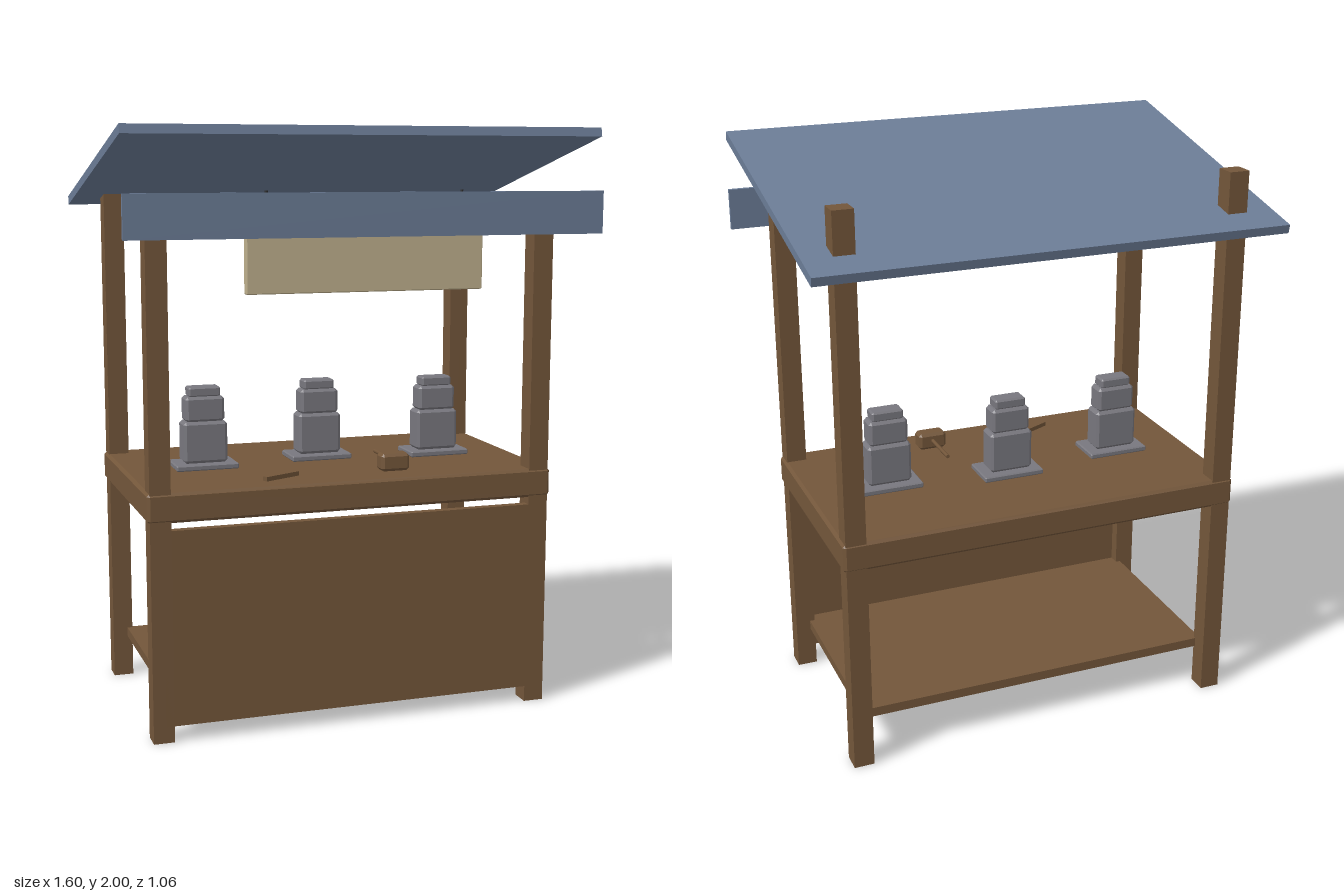
import * as THREE from 'three';
import { ConvexGeometry } from 'three/addons/geometries/ConvexGeometry.js';

const material = (name, color) => {
  const m = new THREE.MeshStandardMaterial({ color });
  m.name = name;
  return m;
};

// Box with flat chamfered edges
function chamferBox(w, h, d, c) {
  const points = [];
  for (const sx of [-1, 1]) for (const sy of [-1, 1]) for (const sz of [-1, 1]) {
    const x = w / 2, y = h / 2, z = d / 2;
    points.push(
      new THREE.Vector3(sx * x, sy * (y - c), sz * (z - c)),
      new THREE.Vector3(sx * (x - c), sy * y, sz * (z - c)),
      new THREE.Vector3(sx * (x - c), sy * (y - c), sz * z));
  }
  return new ConvexGeometry(points);
}

export function createModel() {
  const wood = material('wood', 0x73563a);
  const cloth = material('blue awning', 0x6b7c96);
  const board = material('pale sign board', 0xbfb08d);
  const stone = material('grey stone', 0x78777e);
  const iron = material('dark iron', 0x2b2a2a);

  const model = new THREE.Group();
  model.name = 'marketStall';

  const add = (parent, name, geometry, mat, x, y, z) => {
    const mesh = new THREE.Mesh(geometry, mat);
    mesh.name = name;
    mesh.position.set(x, y, z);
    parent.add(mesh);
    return mesh;
  };
  // Box given by its limits on each axis, optionally chamfered
  const block = (parent, name, mat, [x0, x1], [y0, y1], [z0, z1], chamfer = 0) => {
    const size = [x1 - x0, y1 - y0, z1 - z0];
    const geometry = chamfer ? chamferBox(...size, chamfer) : new THREE.BoxGeometry(...size);
    return add(parent, name, geometry, mat, (x0 + x1) / 2, (y0 + y1) / 2, (z0 + z1) / 2);
  };

  // Posts: the back pair is taller and passes through the roof
  for (const side of [-1, 1]) {
    const x = side * 0.667;
    const span = [x - 0.035, x + 0.035];
    block(model, 'frontPost', wood, span, [0, 1.77], [0.3, 0.37]);
    block(model, 'backPost', wood, span, [0, 1.93], [-0.42, -0.35]);
  }

  // Counter, front panel and lower shelf
  block(model, 'counterTop', wood, [-0.71, 0.71], [0.74, 0.84], [-0.423, 0.374], 0.01);
  block(model, 'frontPanel', wood, [-0.66, 0.66], [0.055, 0.715], [0.34, 0.37]);
  block(model, 'shelf', wood, [-0.65, 0.65], [0.147, 0.18], [-0.36, 0.34]);

  // Sloping roof and the valance before it
  const roof = add(model, 'roof', new THREE.BoxGeometry(1.6, 0.03, 1.06), cloth, 0, 1.869, -0.009);
  roof.rotation.x = -0.222;
  block(model, 'valance', cloth, [-0.8, 0.8], [1.655, 1.795], [0.518, 0.533]);

  // Hanging blank sign
  block(model, 'signBoard', board, [-0.4, 0.4], [1.477, 1.705], [0.432, 0.464], 0.003);
  for (const x of [-0.33, 0.33]) {
    add(model, 'signRod', new THREE.CylinderGeometry(0.005, 0.005, 0.1, 8), iron, x, 1.75, 0.448);
  }

  // Three stepped stone figures, the middle one set further back
  const tiers = [ // name, width, depth, bottom, top, chamfer
    ['base', 0.22, 0.14, 0.84, 0.86, 0.004],
    ['body', 0.155, 0.085, 0.86, 1.005, 0.01],
    ['shoulders', 0.138, 0.075, 1.003, 1.092, 0.01],
    ['cap', 0.112, 0.062, 1.09, 1.125, 0.006],
  ];
  for (const [x, z] of [[-0.43, -0.02], [0, -0.07], [0.43, -0.02]]) {
    const figure = new THREE.Group();
    figure.name = 'stoneFigure';
    figure.position.set(x, 0, z);
    for (const [name, w, d, y0, y1, c] of tiers) {
      block(figure, name, stone, [-w / 2, w / 2], [y0, y1], [-d / 2, d / 2], c);
    }
    model.add(figure);
  }

  // Tools on the counter
  const stick = add(model, 'stick', new THREE.BoxGeometry(0.145, 0.015, 0.022), wood, -0.228, 0.8475, 0.25);
  stick.rotation.y = 0.45;

  const mallet = new THREE.Group();
  mallet.name = 'mallet';
  block(mallet, 'malletHead', wood, [0.125, 0.228], [0.842, 0.903], [0.213, 0.273], 0.01);
  const handle = add(mallet, 'malletHandle',
    new THREE.CylinderGeometry(0.007, 0.007, 0.17, 8), wood, 0.177, 0.875, 0.141);
  handle.rotation.x = Math.PI / 2;
  model.add(mallet);

  return model;
}
